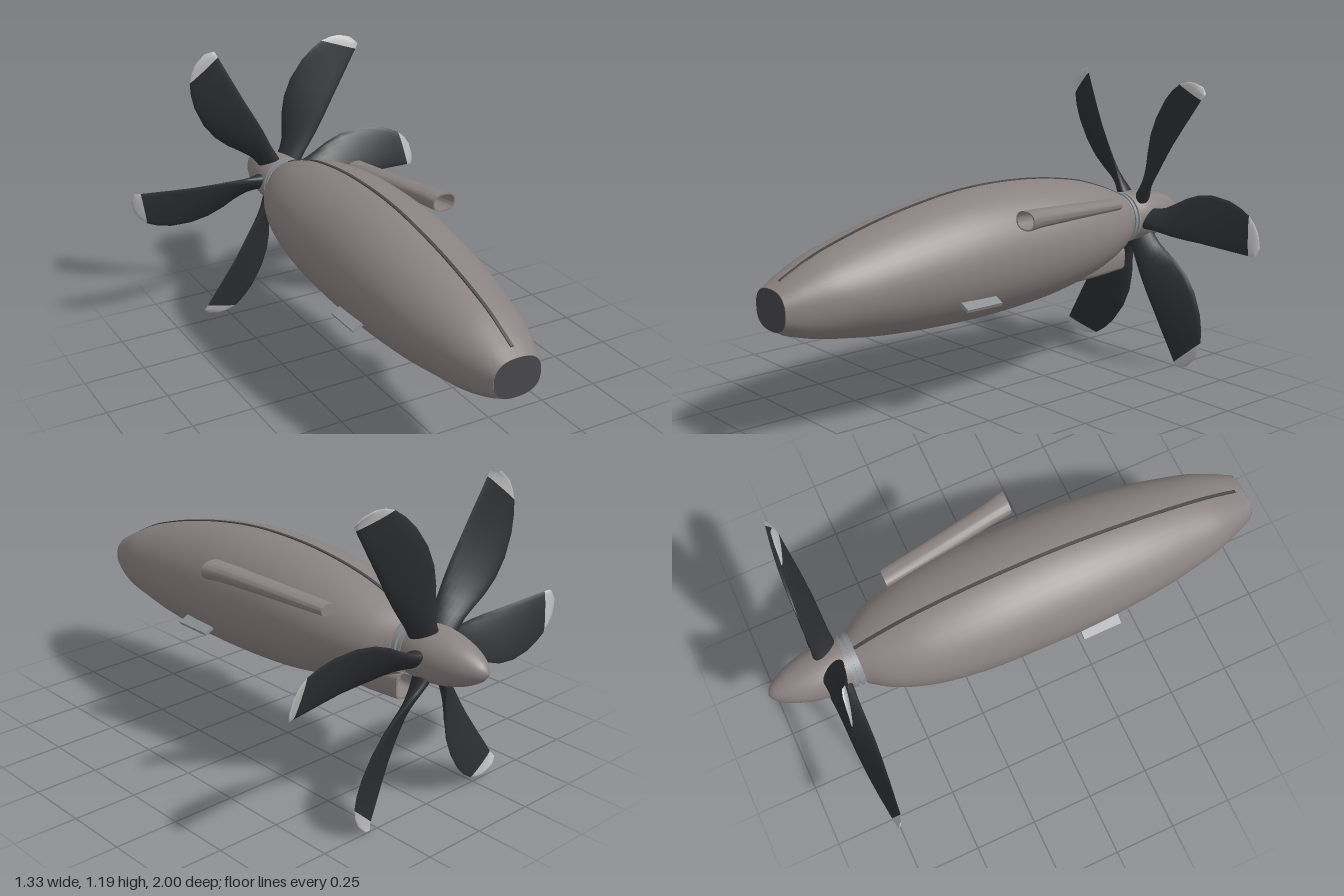
import * as THREE from 'three';
import { toCreasedNormals } from 'three/addons/utils/BufferGeometryUtils.js';

const mat = (color) => new THREE.MeshStandardMaterial({ color });
const bodyMat = mat(0x8a8280), bladeMat = mat(0x2c2e31), tipMat = mat(0xbababa);
const darkMat = mat(0x48484b), metalMat = mat(0x8d9093);

function part(parent, name, geometry, material) {
  const mesh = new THREE.Mesh(geometry, material);
  mesh.name = name;
  parent.add(mesh);
  return mesh;
}

// Superellipse cross-section in the xy plane, counter-clockwise seen from +z
function ring(cx, cy, z, rx, ry, power = 2, sides = 48) {
  const bend = (v) => Math.sign(v) * Math.abs(v) ** (2 / power);
  return Array.from({ length: sides }, (_, i) => {
    const a = (i / sides) * Math.PI * 2;
    return new THREE.Vector3(cx + rx * bend(Math.cos(a)), cy + ry * bend(Math.sin(a)), z);
  });
}

// Skin over a list of equal cross-sections, closed at both ends
function loft(rings, crease = 0.7) {
  const n = rings[0].length, last = rings.length - 1, index = [];
  const points = rings.flat();
  for (let i = 0; i < last; i++) {
    for (let j = 0; j < n; j++) {
      const a = i * n + j, b = i * n + (j + 1) % n;
      index.push(a, b, b + n, a, b + n, a + n);
    }
  }
  for (const [r, start] of [[rings[0], true], [rings[last], false]]) {
    const center = r.reduce((s, p) => s.add(p), new THREE.Vector3()).divideScalar(n);
    const c = points.length;
    points.push(center, ...r);
    for (let j = 0; j < n; j++) {
      const a = c + 1 + j, b = c + 1 + (j + 1) % n;
      index.push(c, start ? b : a, start ? a : b);
    }
  }
  const g = new THREE.BufferGeometry().setFromPoints(points);
  g.setIndex(index);
  g.computeVertexNormals();
  return toCreasedNormals(g, crease);
}

// Nacelle stations: z, top, bottom, half width
const STATIONS = [
  [-0.645, 0.705, 0.49, 0.108], [-0.55, 0.745, 0.45, 0.168], [-0.4, 0.79, 0.4, 0.218],
  [-0.2, 0.82, 0.358, 0.245], [0, 0.829, 0.337, 0.25], [0.2, 0.82, 0.33, 0.249],
  [0.4, 0.79, 0.333, 0.236], [0.6, 0.745, 0.346, 0.212], [0.8, 0.683, 0.375, 0.172],
  [0.92, 0.628, 0.404, 0.13], [1, 0.585, 0.435, 0.095],
];
const spline = (pick) => new THREE.CatmullRomCurve3(
  STATIONS.map((s) => new THREE.Vector3(...pick(s))), false, 'catmullrom');
const heights = spline(([z, top, bottom]) => [z, top, bottom]);
const widths = spline(([z, , , w]) => [z, w, 0]);

function nacelleSections(count) {
  return Array.from({ length: count + 1 }, (_, i) => {
    const h = heights.getPoint(i / count), w = widths.getPoint(i / count);
    return { z: h.x, top: h.y, bottom: h.z, half: w.y };
  });
}

// Blade stations: straight-edge radius and offset, curved-edge radius and offset,
// axial half depth, half thickness
const BLADE = [
  [0.06, -0.03, 0.06, 0.03, 0.045, 0.034], [0.11, -0.031, 0.11, 0.033, 0.045, 0.028],
  [0.15, -0.034, 0.15, 0.046, 0.042, 0.022], [0.2, -0.039, 0.2, 0.072, 0.041, 0.017],
  [0.25, -0.043, 0.25, 0.1, 0.041, 0.014], [0.32, -0.045, 0.32, 0.126, 0.04, 0.012],
  [0.4, -0.046, 0.4, 0.137, 0.036, 0.01], [0.5, -0.051, 0.49, 0.13, 0.028, 0.008],
  [0.57, -0.055, 0.55, 0.113, 0.021, 0.007], [0.628, -0.058, 0.598, 0.09, 0.016, 0.006],
  [0.642, -0.059, 0.628, 0.062, 0.013, 0.005], [0.65, -0.06, 0.65, 0.03, 0.011, 0.004],
  [0.654, -0.058, 0.664, -0.02, 0.006, 0.003],
];
const bladeRing = ([x0, y0, x1, y1, depth, thick], sides = 20) => {
  const normal = new THREE.Vector3(0, depth, (y1 - y0) / 2).normalize();
  return Array.from({ length: sides }, (_, i) => {
    const a = (i / sides) * Math.PI * 2, c = Math.cos(a);
    const t = (c + 1) / 2;
    return new THREE.Vector3(x0 + (x1 - x0) * t, y0 + (y1 - y0) * t, -depth * c)
      .addScaledVector(normal, Math.sin(a) * thick);
  });
};

export function createModel() {
  const model = new THREE.Group();
  model.name = 'propellerNacelle';

  // Nacelle shell and the dark panel on its nose
  const sections = nacelleSections(60);
  part(model, 'nacelle', loft(sections.map((s) => {
    const power = 2 + 0.5 * THREE.MathUtils.smoothstep(s.z, 0.7, 1);
    return ring(0, (s.top + s.bottom) / 2, s.z, s.half, (s.top - s.bottom) / 2, power);
  })), bodyMat);
  part(model, 'nosePanel', loft([
    ring(0, 0.51, 0.99, 0.094, 0.074, 2.5), ring(0, 0.51, 1.001, 0.094, 0.074, 2.5),
  ]), darkMat);

  // Seams along the top and bottom centre lines
  const seamSections = sections.filter((s) => s.z < 0.965);
  for (const [name, edge] of [['topSeam', 'top'], ['bottomSeam', 'bottom']]) {
    part(model, name, loft(seamSections.map((s) => ring(0, s[edge], s.z, 0.007, 0.004, 4, 8))), darkMat);
  }

  // Hollow side pipe, swept outward towards the front
  part(model, 'sidePipe', loft([
    ring(0.2, 0.717, -0.44, 0.036, 0.022, 2.4, 32), ring(0.236, 0.728, -0.18, 0.04, 0.028, 2.4, 32),
    ring(0.267, 0.737, 0.03, 0.043, 0.034, 2.4, 32), ring(0.284, 0.739, 0.105, 0.05, 0.036, 2.4, 32),
    ring(0.284, 0.739, 0.105, 0.044, 0.031, 2.4, 32), ring(0.262, 0.735, -0.01, 0.037, 0.028, 2.4, 32),
  ]), bodyMat);

  // Rear belly scoop, open at the back
  part(model, 'bellyScoop', loft([
    ring(0, 0.445, -0.56, 0.047, 0.04, 4, 32), ring(0, 0.443, -0.64, 0.052, 0.046, 4, 32),
    ring(0, 0.443, -0.64, 0.06, 0.053, 4, 32), ring(0, 0.433, -0.5, 0.06, 0.053, 4, 32),
    ring(0, 0.418, -0.36, 0.055, 0.044, 3.5, 32), ring(0, 0.405, -0.24, 0.035, 0.036, 3, 32),
  ]), bodyMat);

  // Small side strakes
  for (const side of [1, -1]) {
    const strake = part(model, side > 0 ? 'leftStrake' : 'rightStrake',
      new THREE.BoxGeometry(0.05, 0.013, 0.16), metalMat);
    strake.position.set(side * 0.232, 0.45, 0.27);
    strake.rotation.z = -side * 0.45;
  }

  // Propeller: collar, spinner and six twisted blades
  const propeller = new THREE.Group();
  propeller.name = 'propeller';
  propeller.position.set(0, 0.6, 0);
  model.add(propeller);

  const collar = [[0, 0.63], [0.1, 0.63], [0.1, 0.655], [0.106, 0.655], [0.106, 0.667],
    [0.096, 0.667], [0.096, 0.678], [0.104, 0.678], [0.104, 0.69], [0, 0.69]];
  const lathe = (pts) => new THREE.LatheGeometry(pts, 48).rotateX(-Math.PI / 2);
  part(propeller, 'collar', toCreasedNormals(
    lathe(collar.map((p) => new THREE.Vector2(...p))), 0.6), metalMat);

  const nose = new THREE.SplineCurve([[0.1, 0.685], [0.105, 0.74], [0.1, 0.8], [0.088, 0.86],
    [0.068, 0.92], [0.04, 0.97], [0.018, 0.992], [0, 1]].map((p) => new THREE.Vector2(...p)));
  const profile = nose.getPoints(28);
  profile[28].x = 0;
  part(propeller, 'spinner', lathe(profile), bodyMat);

  const bladeGeometry = loft(BLADE.slice(0, 10).map((s) => bladeRing(s)), 1);
  const tipGeometry = loft(BLADE.slice(9).map((s) => bladeRing(s)), 1);
  for (let i = 0; i < 6; i++) {
    const blade = new THREE.Group();
    blade.name = `blade${i + 1}`;
    blade.position.z = -0.747;
    blade.rotation.z = (i * Math.PI) / 3;
    part(blade, 'bladeBody', bladeGeometry, bladeMat);
    part(blade, 'bladeTip', tipGeometry, tipMat);
    propeller.add(blade);
  }
  return model;
}
